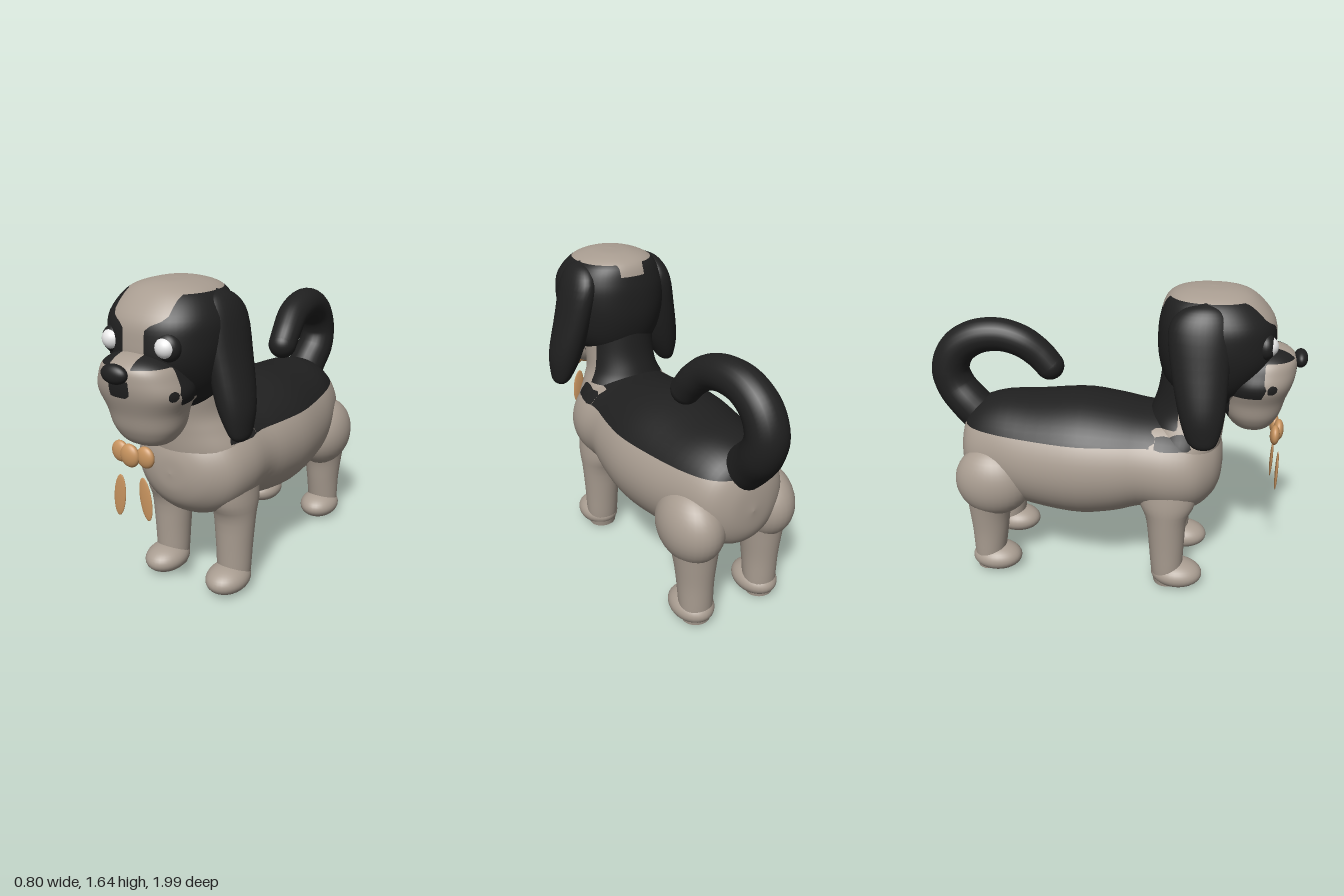
import * as THREE from 'three';

const mat = (name, color) => Object.assign(new THREE.MeshStandardMaterial({ color }), { name });
const coat = mat('taupe coat', 0xa99d91);
const black = mat('black markings', 0x202020);
const white = mat('eye white', 0xf0f0f0);
const tan = mat('tan charm', 0xc8945f);

// Smooth loft through rings [t, centre, rx, r]; axis 'y' stacks upward, axis 'z' runs to the front.
function loft(rings, axis, { rows = 48, sides = 56, power = 2, shift = () => 0 } = {}) {
  const curve = (a, b) => new THREE.CatmullRomCurve3(
    rings.map((r) => new THREE.Vector3(r[a], r[b], 0)), false, 'catmullrom', 0.5);
  const centres = curve(0, 1), radii = curve(2, 3);
  const bend = (v) => Math.sign(v) * Math.abs(v) ** (2 / power);
  const pos = [], index = [];
  for (let i = 0; i <= rows; i++) {
    // Rows crowd towards both ends so that the caps stay round
    const u = 0.5 - 0.5 * Math.cos((Math.PI * i) / rows);
    const c = centres.getPoint(u), r = radii.getPoint(u);
    for (let j = 0; j < sides; j++) {
      const a = (j / sides) * Math.PI * 2;
      const x = shift(c.x) + Math.max(r.x, 0) * bend(Math.cos(a));
      const w = c.y + Math.max(r.y, 0) * bend(Math.sin(a));
      pos.push(x, axis === 'y' ? c.x : w, axis === 'y' ? w : c.x);
      if (i === rows) continue;
      const p = i * sides + j, q = i * sides + ((j + 1) % sides);
      if (axis === 'y') index.push(p, p + sides, q, q, p + sides, q + sides);
      else index.push(p, q, p + sides, q, q + sides, p + sides);
    }
  }
  const g = new THREE.BufferGeometry();
  g.setAttribute('position', new THREE.Float32BufferAttribute(pos, 3));
  g.setIndex(index);
  g.computeVertexNormals();
  return g;
}

// Splits a surface along field = 0: group 0 is coat, group 1 (field > 0) is black.
function paint(geometry, field) {
  const g = geometry.toNonIndexed(), P = g.attributes.position, N = g.attributes.normal;
  const out = [{ p: [], n: [] }, { p: [], n: [] }];
  for (let i = 0; i < P.count; i += 3) {
    const corners = [0, 1, 2].map((k) => {
      const p = new THREE.Vector3().fromBufferAttribute(P, i + k);
      return { p, n: new THREE.Vector3().fromBufferAttribute(N, i + k), f: field(p.x, p.y, p.z) };
    });
    [-1, 1].forEach((sign, side) => {
      const poly = [];
      corners.forEach((a, k) => {
        const b = corners[(k + 1) % 3];
        if (a.f > 0 === sign > 0) poly.push(a);
        if (a.f > 0 !== b.f > 0) {
          const t = a.f / (a.f - b.f);
          poly.push({ p: a.p.clone().lerp(b.p, t), n: a.n.clone().lerp(b.n, t) });
        }
      });
      for (let k = 2; k < poly.length; k++) {
        for (const v of [poly[0], poly[k - 1], poly[k]]) {
          out[side].p.push(v.p.x, v.p.y, v.p.z);
          out[side].n.push(v.n.x, v.n.y, v.n.z);
        }
      }
    });
  }
  const r = new THREE.BufferGeometry();
  r.setAttribute('position', new THREE.Float32BufferAttribute([...out[0].p, ...out[1].p], 3));
  r.setAttribute('normal', new THREE.Float32BufferAttribute([...out[0].n, ...out[1].n], 3));
  r.addGroup(0, out[0].p.length / 3, 0);
  r.addGroup(out[0].p.length / 3, out[1].p.length / 3, 1);
  return r;
}

// Saddle over the back, nape and a patch on each shoulder
const bodyMarks = (x, y, z) => Math.max(
  Math.min(y - 0.86, 0.24 - z),
  Math.min(y - 0.94, 0.38 - z),
  Math.min(y - 0.85, z - 0.27, 0.46 - (y - 0.86) * 0.5 - z, Math.abs(x) - 0.23));

// Mask with a pale crown, blaze and jaw, plus mouth spots
const headMarks = (x, y, z) => {
  const ax = Math.abs(x);
  const crown = Math.max(y - 1.6, Math.min(0.07 - ax, y - 1.54, 0.4 - z));
  const blaze = Math.min(0.06 + 0.09 * THREE.MathUtils.smoothstep(y, 1.46, 1.52) - ax, z - 0.6);
  const jaw = Math.max(Math.min(1.31 - y, z - 0.79), Math.min(1.14 - y, z - 0.63));
  const mouth = Math.min(0.055 - ax, y - 1.18, 1.26 - y, z - 0.85);
  const cheek = Math.min(0.025 - Math.hypot(y - 1.19, z - 0.83), ax - 0.1);
  return Math.max(-Math.max(crown, blaze, jaw), mouth, cheek);
};

export function createModel() {
  const model = new THREE.Group();
  model.name = 'dog';
  const add = (name, geometry, material) => {
    const mesh = new THREE.Mesh(geometry, material);
    mesh.name = name;
    model.add(mesh);
    return mesh;
  };
  const ball = (name, material, [x, y, z], [rx, ry, rz], tilt = 0) => {
    const mesh = add(name, new THREE.SphereGeometry(1, 32, 20), material);
    mesh.position.set(x, y, z);
    mesh.scale.set(rx, ry, rz);
    mesh.rotation.z = tilt;
  };
  const marked = [coat, black];

  // Body, neck, head and muzzle
  add('body', paint(loft([
    [-0.825, 0.68, 0, 0], [-0.805, 0.69, 0.13, 0.15], [-0.74, 0.7, 0.23, 0.245],
    [-0.6, 0.71, 0.29, 0.29], [-0.4, 0.695, 0.345, 0.32], [-0.15, 0.695, 0.375, 0.345],
    [0.05, 0.7, 0.36, 0.32], [0.2, 0.71, 0.335, 0.285], [0.35, 0.7, 0.335, 0.285],
    [0.48, 0.695, 0.3, 0.255], [0.565, 0.695, 0.21, 0.185], [0.605, 0.695, 0.11, 0.1],
    [0.615, 0.695, 0, 0],
  ], 'z', { rows: 64 }), bodyMarks), marked);
  add('neck', paint(loft([
    [0.7, 0.38, 0.29, 0.2], [0.82, 0.39, 0.28, 0.21], [0.92, 0.405, 0.235, 0.205],
    [1.0, 0.425, 0.2, 0.195], [1.1, 0.45, 0.195, 0.19], [1.25, 0.47, 0.2, 0.19],
  ], 'y'), bodyMarks), marked);
  add('head', paint(loft([
    [1.02, 0.52, 0, 0], [1.06, 0.52, 0.13, 0.14], [1.12, 0.52, 0.2, 0.2],
    [1.2, 0.53, 0.25, 0.25], [1.3, 0.545, 0.28, 0.29], [1.4, 0.545, 0.292, 0.295],
    [1.5, 0.54, 0.28, 0.28], [1.595, 0.515, 0.215, 0.22], [1.635, 0.515, 0.11, 0.13],
    [1.645, 0.515, 0, 0],
  ], 'y', { power: 2.25, rows: 64 }), headMarks), marked);
  add('muzzle', paint(loft([
    [0.91, 0.745, 0, 0], [0.93, 0.75, 0.11, 0.085], [1.0, 0.745, 0.17, 0.14],
    [1.09, 0.745, 0.195, 0.165], [1.18, 0.755, 0.23, 0.185], [1.25, 0.765, 0.21, 0.185],
    [1.31, 0.775, 0.175, 0.165], [1.35, 0.78, 0.1, 0.1], [1.37, 0.78, 0, 0],
  ], 'y', { power: 2.2, rows: 64 }), headMarks), marked);
  ball('nose', black, [0, 1.293, 0.965], [0.07, 0.045, 0.035]);

  // Curled tail: a tube that leans sideways, closed by a round tip
  const tailPath = new THREE.CatmullRomCurve3([
    [0, 0.82, -0.68], [0, 0.93, -0.79], [0.01, 1.02, -0.865], [0.01, 1.12, -0.89],
    [0.015, 1.23, -0.845], [0.025, 1.3, -0.74], [0.04, 1.315, -0.61],
    [0.05, 1.28, -0.49], [0.065, 1.21, -0.4], [0.07, 1.145, -0.345],
  ].map((p) => new THREE.Vector3(...p)));
  const tail = new THREE.TubeGeometry(tailPath, 60, 1, 24);
  const tp = tail.attributes.position, v = new THREE.Vector3();
  for (let i = 0; i < tp.count; i++) {
    const u = Math.floor(i / 25) / 60, c = tailPath.getPointAt(u);
    v.fromBufferAttribute(tp, i).sub(c).multiplyScalar(0.115 - 0.037 * u).add(c);
    tp.setXYZ(i, v.x, v.y, v.z);
  }
  add('tail', tail, black);
  ball('tailTip', black, [0.07, 1.145, -0.345], [0.078, 0.078, 0.078]);
  ball('tailBase', black, [0, 0.87, -0.73], [0.12, 0.09, 0.1]);

  for (const s of [-1, 1]) {
    const side = s > 0 ? 'left' : 'right';
    // Hanging ear
    add(side + 'Ear', loft([
      [0.91, 0.515, 0, 0], [0.93, 0.515, 0.035, 0.055], [0.98, 0.51, 0.058, 0.085],
      [1.1, 0.5, 0.087, 0.115], [1.3, 0.48, 0.087, 0.14], [1.48, 0.47, 0.085, 0.15],
      [1.57, 0.48, 0.055, 0.1], [1.605, 0.49, 0, 0],
    ], 'y', { rows: 36, sides: 32, shift: (y) => s * (0.345 - (y - 0.95) * 0.22) }), black);

    // Eye in a dark socket
    ball(side + 'EyeSocket', black, [s * 0.148, 1.39, 0.782], [0.066, 0.066, 0.05]);
    ball(side + 'Eye', white, [s * 0.15, 1.392, 0.795], [0.052, 0.05, 0.05]);

    // Front and hind legs with paws
    add(side + 'FrontLeg', loft([
      [0.02, 0.35, 0.075, 0.07], [0.1, 0.35, 0.09, 0.085], [0.25, 0.345, 0.098, 0.095],
      [0.42, 0.34, 0.11, 0.11], [0.52, 0.34, 0.115, 0.15], [0.65, 0.34, 0.1, 0.16],
    ], 'y', { rows: 24, sides: 32, shift: () => s * 0.2 }), coat);
    ball(side + 'FrontPaw', coat, [s * 0.2, 0.078, 0.405], [0.11, 0.076, 0.14]);
    add(side + 'HindLeg', loft([
      [0.02, -0.665, 0.075, 0.07], [0.1, -0.66, 0.088, 0.085], [0.25, -0.65, 0.095, 0.1],
      [0.38, -0.645, 0.11, 0.115], [0.5, -0.63, 0.13, 0.14],
    ], 'y', { rows: 24, sides: 32, shift: () => s * 0.205 }), coat);
    ball(side + 'HindPaw', coat, [s * 0.205, 0.078, -0.62], [0.11, 0.076, 0.14]);
    ball(side + 'Thigh', coat, [s * 0.215, 0.57, -0.61], [0.155, 0.2, 0.21]);

    // Side bead and slim pendant
    ball(side + 'Bead', tan, [s * 0.073, 0.893, 0.872], [0.048, 0.052, 0.025]);
    ball(side + 'Pendant', tan, [s * 0.066, 0.684, s > 0 ? 0.875 : 0.9], [0.034, 0.107, 0.008], s * 0.12);
  }
  ball('middleBead', tan, [0, 0.893, 0.892], [0.052, 0.056, 0.027]);
  return model;
}
